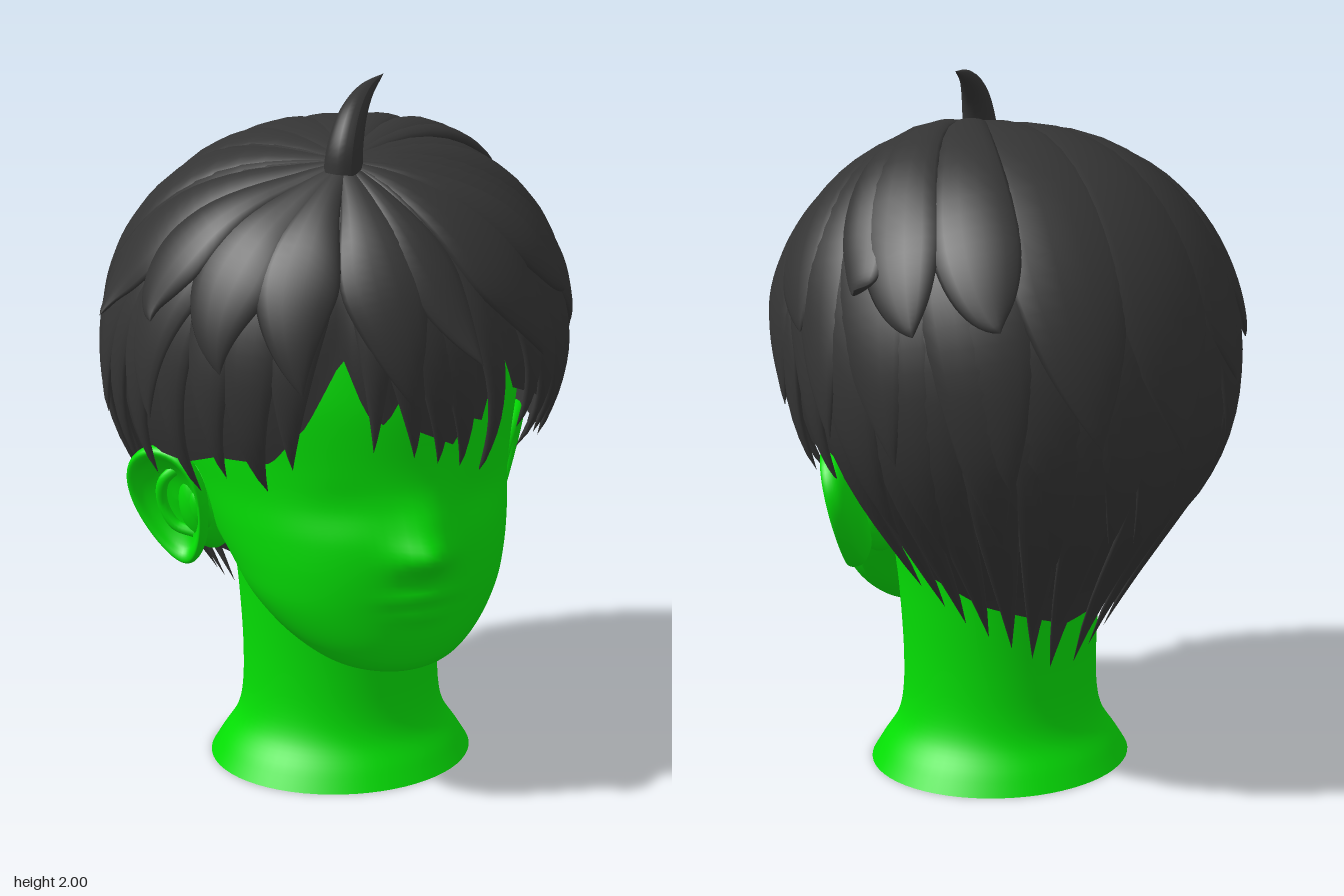
import * as THREE from 'three';

const skin = new THREE.MeshStandardMaterial({ color: 0x04e004 });
skin.name = 'green skin';
const hairMat = new THREE.MeshStandardMaterial({ color: 0x343434, side: THREE.DoubleSide });
hairMat.name = 'charcoal hair';

const V = (x, y, z) => new THREE.Vector3(x, y, z);
const smooth = THREE.MathUtils.smoothstep;

function add(parent, name, geometry, material) {
  const mesh = new THREE.Mesh(geometry, material);
  mesh.name = name;
  parent.add(mesh);
  return mesh;
}

// Smooth surface from closed cross-sections: fn(row 0..1, column 0..1) gives a point
function loft(rows, cols, fn) {
  const pos = [], index = [];
  for (let i = 0; i <= rows; i++) {
    for (let j = 0; j < cols; j++) pos.push(...fn(i / rows, j / cols).toArray());
  }
  for (let i = 0; i < rows; i++) {
    for (let j = 0; j < cols; j++) {
      const k = (j + 1) % cols;
      const a = i * cols + j, b = i * cols + k, c = a + cols, d = b + cols;
      index.push(a, b, c, b, d, c);
    }
  }
  const g = new THREE.BufferGeometry();
  g.setAttribute('position', new THREE.Float32BufferAttribute(pos, 3));
  g.setIndex(index);
  g.computeVertexNormals();
  return g;
}

// Head: rows of [y, half width, front z, middle z, back z], with bumps for the features
function headGeometry() {
  const rows = [
    [0.395, 0, 0.39, 0.38, 0.37], [0.402, 0.1, 0.47, 0.36, 0.26], [0.43, 0.19, 0.515, 0.34, 0.2],
    [0.5, 0.28, 0.545, 0.29, 0.15], [0.6, 0.355, 0.562, 0.23, 0.1], [0.7, 0.395, 0.572, 0.17, 0],
    [0.8, 0.425, 0.568, 0.1, -0.25], [0.9, 0.447, 0.55, 0.04, -0.42], [1.0, 0.468, 0.538, 0.02, -0.5],
    [1.2, 0.5, 0.535, 0, -0.54], [1.4, 0.485, 0.49, -0.01, -0.52], [1.56, 0.41, 0.39, -0.02, -0.43],
    [1.68, 0.25, 0.23, -0.03, -0.28], [1.73, 0, -0.03, -0.04, -0.05]];
  const widths = new THREE.CatmullRomCurve3(rows.map(r => V(r[1], r[0], r[2])), false, 'catmullrom');
  const depths = new THREE.CatmullRomCurve3(rows.map(r => V(r[3], r[0], r[4])), false, 'catmullrom');
  // [x, y, height, x spread, y spread]
  const bumps = [[0, 0.765, 0.056, 0.08, 0.05], [0, 0.84, 0.022, 0.07, 0.06], [0, 0.645, 0.014, 0.09, 0.022],
    [0, 0.59, 0.009, 0.07, 0.02], [0.2, 0.9, -0.012, 0.1, 0.07], [-0.2, 0.9, -0.012, 0.1, 0.07]];
  return loft(90, 96, (t, u) => {
    const w = widths.getPoint(t), d = depths.getPoint(t), a = u * Math.PI * 2;
    const c = Math.cos(a), x = Math.max(w.x, 0) * Math.sin(a);
    let z = c > 0 ? d.x + (w.z - d.x) * Math.pow(c, 0.9) : d.x + (d.x - d.z) * c;
    if (c > 0) {
      for (const [bx, by, h, sx, sy] of bumps) z += h * Math.exp(-(((x - bx) / sx) ** 2) - ((w.y - by) / sy) ** 2);
    }
    return V(x, w.y, z);
  });
}

// Ear: a dished disc with a raised rim, an inner fold and a front flap
function addEar(parent, name, s) {
  const ear = new THREE.Group();
  ear.name = name;
  const profile = [[0, -0.05], [0.6, -0.045], [0.93, -0.015], [1, 0.015], [0.95, 0.036], [0.84, 0.03],
    [0.72, 0.008], [0.4, -0.015], [0, -0.016]].map(p => new THREE.Vector2(...p));
  const curve = new THREE.SplineCurve(profile).getPoints(32);
  curve[0].x = curve[32].x = 0;
  const shell = new THREE.LatheGeometry(curve, 48);
  shell.rotateZ(-s * Math.PI / 2);
  const p = shell.attributes.position;
  for (let i = 0; i < p.count; i++) p.setXYZ(i, p.getX(i), p.getY(i) * 0.182, p.getZ(i) * 0.115 * (1 + 0.32 * p.getY(i)));
  shell.computeVertexNormals();
  add(ear, 'earShell', shell, skin);
  const foldPath = new THREE.CatmullRomCurve3([V(-s * 0.03, 0.1, 0.045), V(0, 0.07, -0.01), V(0, 0, -0.04),
    V(0, -0.07, -0.02), V(-s * 0.01, -0.1, 0.03)]);
  add(ear, 'earFold', new THREE.TubeGeometry(foldPath, 24, 0.016, 10), skin);
  const flap = add(ear, 'earFlap', new THREE.SphereGeometry(1, 16, 12), skin);
  flap.scale.set(0.025, 0.06, 0.03);
  flap.position.set(-s * 0.01, -0.03, 0.075);
  ear.position.set(s * 0.512, 0.828, 0.03);
  ear.rotation.set(-0.24, -s * 0.58, -s * 0.34);
  parent.add(ear);
  const root = add(parent, name + 'Root', new THREE.SphereGeometry(1, 24, 16), skin);
  root.scale.set(0.075, 0.13, 0.07);
  root.position.set(s * 0.42, 0.81, 0.04);
  root.rotation.z = -s * 0.25;
}

// Hair volume: a dome above its centre, fuller at the upper front left, tapering towards the nape
const C = V(0, 1.2, -0.02), R = 0.642, fullSide = V(0.45, 0.6, 0.66).normalize();
const girth = y => y > 0 ? Math.sqrt(Math.max(0, R * R - y * y)) : R / (1 + Math.pow(-y / 0.72, 2.4));
const toward = (az, y) => {
  const h = girth(y - C.y);
  return V(Math.sin(az) * h, y - C.y, Math.cos(az) * h).normalize();
};
function onHair(dir, lift) {
  const d = dir.clone().normalize(), flat = Math.hypot(d.x, d.z);
  const fullness = 1 + 0.05 * smooth(d.dot(fullSide), 0.55, 0.92);
  let lo = 0.2, hi = 1.6;
  for (let i = 0; i < 24; i++) {
    const r = (lo + hi) / 2;
    if (flat * r < girth(d.y * r) && d.y * r < R) lo = r; else hi = r;
  }
  return d.multiplyScalar(lo * lift * fullness).add(C);
}

// Under-layer of hair: hairline of [azimuth, y] with two partings, dropping behind the ears
function capGeometry() {
  const line = [[-3.2, 0.43], [-2.3, 0.52], [-1.85, 0.62], [-1.66, 0.98], [-1.2, 0.98], [-1, 1.02], [-0.72, 1.02],
    [-0.55, 1.14], [-0.39, 1.34], [-0.29, 1.18], [-0.2, 1.14], [-0.13, 1.22], [-0.06, 1.12], [0.14, 1.06],
    [0.2, 1.14], [0.29, 1.12], [0.34, 1.36], [0.45, 1.2], [0.7, 1.14], [1, 1.04], [1.2, 0.98], [1.66, 0.98],
    [1.85, 0.62], [2.3, 0.52], [3.2, 0.43]];
  const hem = a => {
    const i = line.findIndex(q => q[0] > a);
    return THREE.MathUtils.mapLinear(a, line[i - 1][0], line[i][0], line[i - 1][1], line[i][1]);
  };
  return loft(32, 180, (t, u) => {
    const az = Math.PI - u * Math.PI * 2;
    const phi = Math.acos(toward(az, hem(az)).y) * t;
    const d = V(Math.sin(az) * Math.sin(phi), Math.cos(phi), Math.cos(az) * Math.sin(phi));
    return onHair(d, 0.97 - 0.03 * smooth(t, 0.7, 1));
  });
}

// Lock: lens-shaped strand from the whorl over the dome to a pointed tip
const whorl = V(-0.1, 0.6, 0.29).normalize();
function lockGeometry(az, y, width, lift, flick = 0, sway = 0.12) {
  const tip = toward(az, y);
  const mid = V(Math.sin(az - sway), 0.45, Math.cos(az - sway)).multiplyScalar(1.2);
  const path = new THREE.QuadraticBezierCurve3(whorl, mid, tip);
  return loft(24, 14, (t, u) => {
    const d = path.getPoint(t).normalize();
    const side = d.clone().cross(path.getTangent(t)).normalize();
    const shape = (1 - Math.pow(t, 2.3)) * (0.2 + 0.8 * smooth(t, 0, 0.55));
    const a = u * Math.PI * 2;
    const height = 1 + (lift - 1) * smooth(t, 0, 0.35) + flick * Math.pow(t, 5);
    const q = d.addScaledVector(side, Math.cos(a) * width * shape);
    return onHair(q, height + 0.04 * Math.sqrt(Math.max(0, shape)) * Math.sin(a));
  });
}

export function createModel() {
  const model = new THREE.Group();
  model.name = 'mannequinHead';

  // Neck with a flared foot, widening into the skull
  const neckCurve = new THREE.SplineCurve([[0.386, 0], [0.355, 0.05], [0.31, 0.12], [0.291, 0.2], [0.288, 0.32],
    [0.295, 0.46], [0.308, 0.6], [0.335, 0.75], [0.385, 0.9]].map(p => new THREE.Vector2(...p)));
  const neck = add(model, 'neck', new THREE.LatheGeometry(neckCurve.getPoints(40), 64), skin);
  const foot = add(model, 'neckBase', new THREE.CircleGeometry(0.386, 64).rotateX(Math.PI / 2), skin);
  for (const part of [neck, foot]) {
    part.scale.z = 0.93;
    part.position.set(0.008, 0, 0.012);
  }

  add(model, 'face', headGeometry(), skin);
  addEar(model, 'leftEar', 1);
  addEar(model, 'rightEar', -1);

  // Hair: each lock is [azimuth from front, tip height, half width, lift, flick, sway]
  const hair = new THREE.Group();
  hair.name = 'hair';
  model.add(hair);
  add(hair, 'hairCap', capGeometry(), hairMat);
  const layers = {
    fringeLock: [[-0.76, 0.92, 0.22, 0.99, -0.06], [-0.62, 1.0, 0.17, 0.99, -0.06, 0], [-0.25, 1.06, 0.11, 1, -0.06, 0],
      [-0.05, 1.03, 0.15, 1, -0.07], [0.08, 1.0, 0.15, 1, -0.07], [0.23, 0.97, 0.14, 1, -0.08, 0.2],
      [0.39, 0.93, 0.09, 0.99, -0.07, 0.14], [0.56, 1.06, 0.12, 0.99, -0.05, 0], [0.74, 1.02, 0.17, 0.99, -0.05],
      [0.88, 0.99, 0.17, 0.99, -0.04], [-0.1, 1.2, 0.22, 1.02], [0.14, 1.3, 0.15, 1.02, 0.08],
      [-0.55, 1.24, 0.22, 1.03], [0.55, 1.28, 0.22, 1.02]],
    topLock: [[1.5, 1.34, 0.24, 1.02, 0.02], [1.92, 1.46, 0.15, 1.05, 0.14, 0.05], [2.15, 1.38, 0.22, 1.06, 0.02, 0.1],
      [2.5, 1.4, 0.23, 1.05, 0.03, 0.1], [2.9, 1.1, 0.33, 1.03, 0.03], [3.3, 1.05, 0.37, 1.03, 0.04],
      [-2.6, 1.2, 0.3, 1.03, 0.03], [-2.15, 1.25, 0.28, 1.03, 0.02], [-1.6, 1.35, 0.22, 1.03, 0.08],
      [-1.25, 1.38, 0.18, 1.05, 0.03], [-0.9, 1.28, 0.24, 1.03], [1.1, 1.28, 0.24, 1.01], [0.85, 1.4, 0.14, 1.03]],
  };
  // Side, back and nape locks repeat on both sides, slightly offset
  const paired = {
    sideLock: [[0.98, 0.97, 0.19, 0.99, -0.02], [1.22, 0.88, 0.17, 0.97, -0.03], [1.42, 0.94, 0.18, 1],
      [1.62, 0.93, 0.18, 1], [1.32, 1.12, 0.24, 1.01, 0.02], [1.72, 1.08, 0.24, 1.01, 0.03]],
    backLock: [[1.92, 0.8, 0.26, 1], [2.2, 0.74, 0.26, 1], [2.5, 0.8, 0.28, 1.01], [2.8, 0.7, 0.28, 1],
      [3.08, 0.78, 0.28, 1.01, 0.02], [2.05, 1.04, 0.28, 1.01, 0.02], [2.55, 0.98, 0.3, 1.01, 0.02]],
    napeLock: [[1.8, 0.58, 0.19, 0.96], [1.98, 0.53, 0.2, 0.97], [2.15, 0.49, 0.21, 0.98], [2.35, 0.46, 0.22, 0.99],
      [2.56, 0.42, 0.23, 0.99], [2.78, 0.38, 0.24, 0.99], [3.0, 0.35, 0.26, 1]],
  };
  for (const [name, list] of Object.entries(paired)) {
    layers[name] = list.flatMap(([az, ...rest]) => [[az, ...rest], [-az + 0.04, ...rest]]);
  }
  for (const [name, list] of Object.entries(layers)) {
    list.forEach((lock, i) => add(hair, name + (i + 1), lockGeometry(...lock), hairMat));
  }

  // Upright curl at the whorl
  const curl = new THREE.CatmullRomCurve3([V(-0.11, 1.77, 0.28), V(-0.105, 1.83, 0.28), V(-0.07, 1.91, 0.25),
    V(-0.005, 1.965, 0.19), V(0.09, 2.0, 0.11)]);
  const tube = new THREE.TubeGeometry(curl, 28, 1, 16);
  const p = tube.attributes.position, v = V();
  for (let i = 0; i < p.count; i++) {
    const t = Math.floor(i / 17) / 28, centre = curl.getPointAt(t);
    v.fromBufferAttribute(p, i).sub(centre).multiplyScalar(0.052 * (1 - Math.pow(t, 1.5))).add(centre);
    p.setXYZ(i, v.x, v.y, v.z);
  }
  tube.computeVertexNormals();
  add(hair, 'crownCurl', tube, hairMat);
  return model;
}
